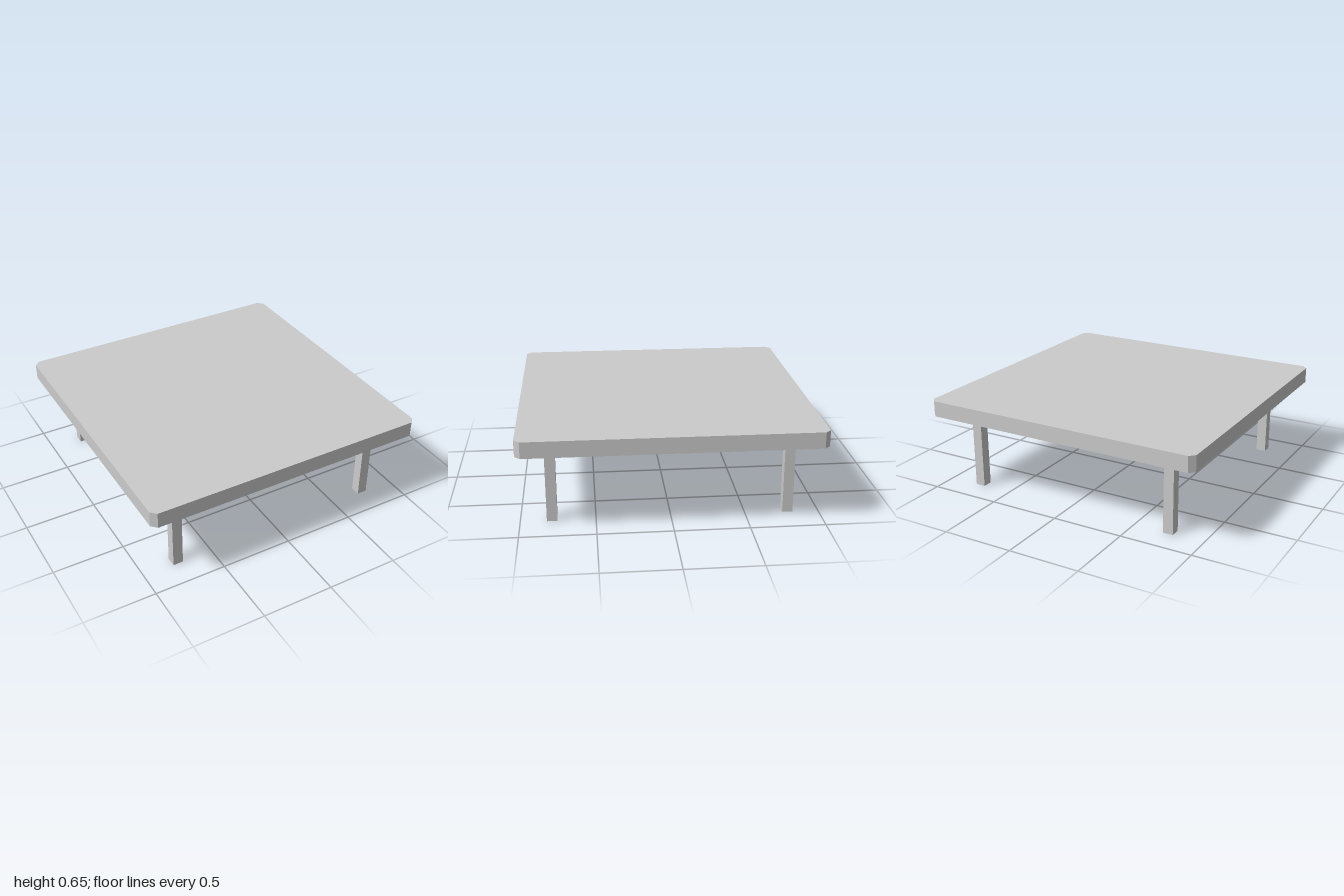
import * as THREE from 'three';

const LEG_HEIGHT = 0.54, TOP_HEIGHT = 0.65, LEG_WIDTH = 0.07;

export function createModel() {
  const model = new THREE.Group();
  model.name = 'lowTable';
  const material = new THREE.MeshStandardMaterial({ color: 0xcccccc, flatShading: true });

  // Square slab with chamfered corners
  const h = 1, c = 0.963;
  const outline = new THREE.Shape([
    [c, -h], [h, -c], [h, c], [c, h], [-c, h], [-h, c], [-h, -c], [-c, -h],
  ].map(([x, y]) => new THREE.Vector2(x, y)));
  const topGeometry = new THREE.ExtrudeGeometry(outline, { depth: TOP_HEIGHT - LEG_HEIGHT, bevelEnabled: false });
  topGeometry.rotateX(-Math.PI / 2);
  const top = new THREE.Mesh(topGeometry, material);
  top.name = 'tabletop';
  top.position.y = LEG_HEIGHT;
  model.add(top);

  // Four square legs
  const legGeometry = new THREE.BoxGeometry(LEG_WIDTH, LEG_HEIGHT, LEG_WIDTH);
  for (const [side, sx] of [['Left', 1], ['Right', -1]]) {
    for (const [end, sz] of [['front', 1], ['back', -1]]) {
      const leg = new THREE.Mesh(legGeometry, material);
      leg.name = `${end}${side}Leg`;
      leg.position.set(sx * 0.75, LEG_HEIGHT / 2, sz * 0.79);
      model.add(leg);
    }
  }
  return model;
}
